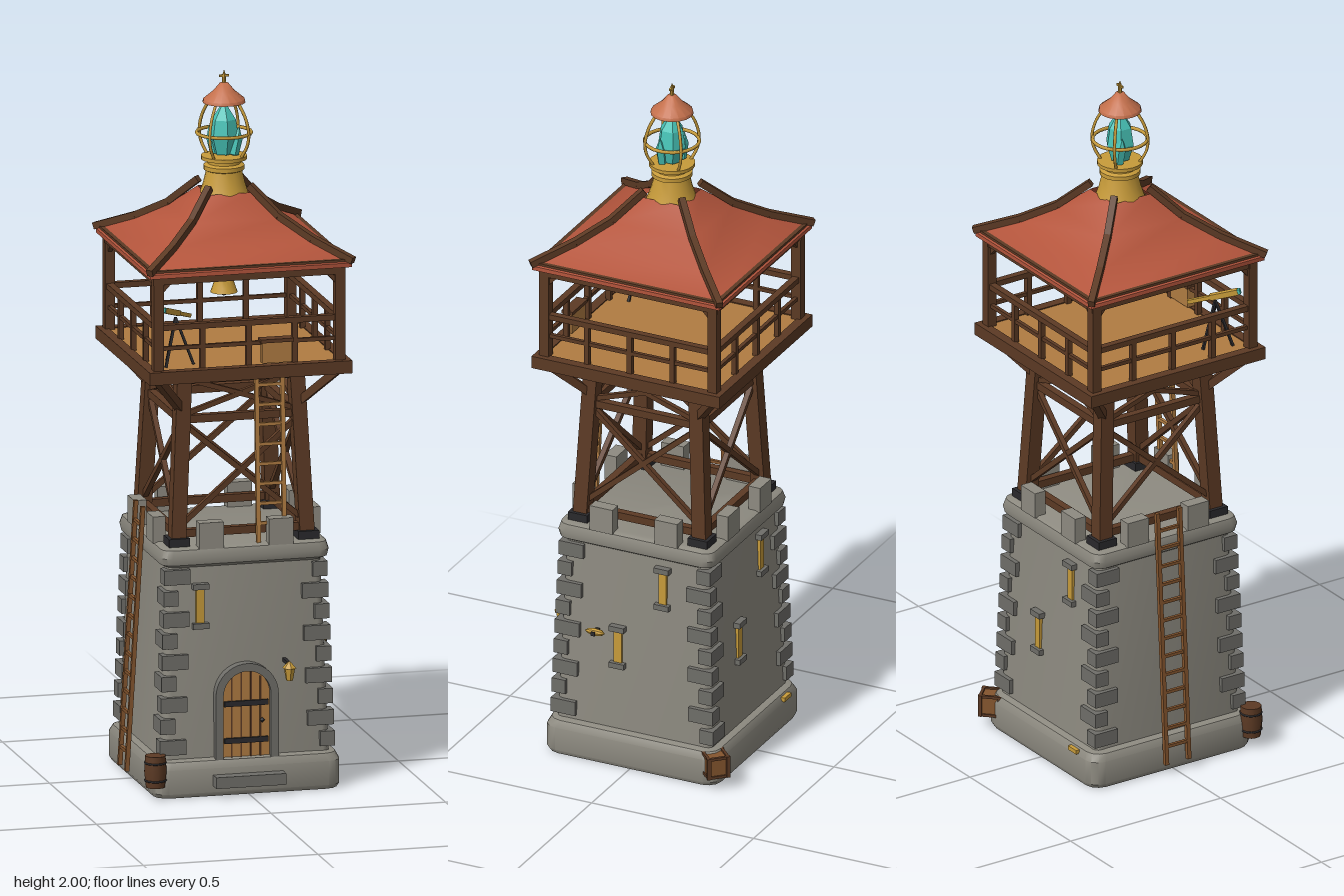
import * as THREE from 'three';
import { toCreasedNormals } from 'three/addons/utils/BufferGeometryUtils.js';

const mat = (name, color, side = THREE.FrontSide) => {
  const m = new THREE.MeshStandardMaterial({ color, side });
  m.name = name;
  return m;
};

export function createModel() {
  const stone = mat('stone', 0x8e8b81), trim = mat('darkStone', 0x6f6e69);
  const timber = mat('darkTimber', 0x5c3a24), oak = mat('oak', 0x84552e), plank = mat('plank', 0xb07c42);
  const gold = mat('brass', 0xc79b3a), red = mat('redRoof', 0xb4553c, THREE.DoubleSide);
  const copper = mat('copper', 0xc4704c), teal = mat('crystal', 0x48c4b8), iron = mat('iron', 0x2a292c);
  const model = new THREE.Group();
  model.name = 'watchtower';

  const add = (parent, name, geo, m, x = 0, y = 0, z = 0) => {
    const mesh = new THREE.Mesh(geo, m);
    mesh.name = name;
    mesh.position.set(x, y, z);
    parent.add(mesh);
    return mesh;
  };
  const box = (p, name, m, w, h, d, x, y, z) => add(p, name, new THREE.BoxGeometry(w, h, d), m, x, y, z);
  // square bar from a to b, in the parent's own frame
  const beam = (p, name, m, a, b, w) => {
    const A = new THREE.Vector3(...a), B = new THREE.Vector3(...b), len = A.distanceTo(B);
    const up = Math.abs(B.y - A.y) > len * 0.9 ? new THREE.Vector3(0, 0, 1) : new THREE.Vector3(0, 1, 0);
    const mesh = box(p, name, m, w, w, len, 0, 0, 0);
    mesh.quaternion.setFromRotationMatrix(new THREE.Matrix4().lookAt(B, A, up));
    mesh.position.lerpVectors(A, B, 0.5);
  };
  const lathe = (p, name, m, pts, seg, x = 0, y = 0, z = 0, crease = 0.7) =>
    add(p, name, toCreasedNormals(new THREE.LatheGeometry(pts.map(q => new THREE.Vector2(...q)), seg), crease), m, x, y, z);
  const ring = (p, name, m, r, t, y) => add(p, name, new THREE.TorusGeometry(r, t, 6, 24), m, 0, y, 0).rotateX(Math.PI / 2);
  const group = (name, parent = model) => {
    const g = new THREE.Group();
    g.name = name;
    parent.add(g);
    return g;
  };
  // repeat a front-side construction on all four sides
  const four = (name, fn) => {
    for (let k = 0; k < 4; k++) {
      const g = group(name);
      g.rotation.y = k * Math.PI / 2;
      fn(g, k);
    }
  };
  // rounded-square loft; each profile row is [half width, y, corner radius]
  const loft = (profile, caps = true) => {
    const pos = [], idx = [], n = 16;
    profile.forEach(([h, y, r]) => {
      for (let i = 0; i < n; i++) {
        const c = Math.floor(i / 4), a = (c + (i % 4) / 3) * Math.PI / 2, q = (c + 0.5) * Math.PI / 2;
        pos.push(Math.sign(Math.cos(q)) * (h - r) + Math.cos(a) * r, y, Math.sign(Math.sin(q)) * (h - r) + Math.sin(a) * r);
      }
    });
    for (let j = 0; j < profile.length - 1; j++) for (let i = 0; i < n; i++) {
      const a = j * n + i, b = j * n + (i + 1) % n;
      idx.push(a, a + n, b, b, a + n, b + n);
    }
    const top = (profile.length - 1) * n;
    if (caps) for (let i = 1; i < n - 1; i++) idx.push(0, i, i + 1, top, top + i + 1, top + i);
    const g = new THREE.BufferGeometry();
    g.setAttribute('position', new THREE.Float32BufferAttribute(pos, 3));
    g.setIndex(idx);
    return toCreasedNormals(g, 0.6);
  };
  const wallAt = y => 0.24 - (y - 0.1) * 0.035;

  // masonry base
  add(model, 'plinth', loft([[0.262, 0, 0.04], [0.268, 0.012, 0.04], [0.268, 0.08, 0.04], [0.258, 0.1, 0.04], [0.24, 0.105, 0.03]]), stone);
  add(model, 'towerWall', loft([[0.24, 0.1, 0.02], [wallAt(0.66), 0.66, 0.02]]), stone);
  add(model, 'parapetLedge', loft([[0.222, 0.645, 0.03], [0.238, 0.655, 0.03], [0.242, 0.675, 0.03], [0.236, 0.697, 0.03], [0.225, 0.702, 0.03]]), stone);
  const slits = [[[-0.13, 0.535]], [[0.085, 0.56], [-0.05, 0.355]], [[0.095, 0.56], [-0.055, 0.355]], []];
  four('masonrySide', (g, k) => {
    for (const x of [-0.1, 0.1]) box(g, 'merlon', stone, 0.07, 0.075, 0.036, x, 0.735, 0.222);
    for (let i = 0; i < 9; i++) {
      const y = 0.14 + i * 0.06, h = wallAt(y), long = i % 2;
      box(g, 'quoin', trim, long ? 0.075 : 0.042, 0.042, long ? 0.042 : 0.075,
        h - (long ? 0.0255 : 0.009), y, h - (long ? 0.009 : 0.0255));
    }
    for (const [x, y] of slits[k]) {
      const z = wallAt(y);
      box(g, 'slitWindow', gold, 0.024, 0.1, 0.009, x, y, z + 0.003);
      for (const s of [-1, 1]) box(g, 'slitLintel', trim, 0.046, 0.016, 0.026, x, y + s * 0.056, z + 0.004);
    }
  });

  // arched door
  const door = group('door');
  door.position.set(-0.003, 0, 0);
  const arch = (w, y0, spring) => {
    const s = new THREE.Shape();
    s.moveTo(-w, y0); s.lineTo(w, y0); s.lineTo(w, spring);
    s.absarc(0, spring, w, 0, Math.PI, false);
    s.lineTo(-w, y0);
    return s;
  };
  const frame = arch(0.09, 0.1, 0.28);
  frame.holes.push(arch(0.068, 0.1005, 0.28));
  const extrude = (s, depth) => new THREE.ExtrudeGeometry(s, { depth, bevelEnabled: false, curveSegments: 10 });
  add(door, 'doorFrame', extrude(frame, 0.035), trim, 0, 0, 0.225);
  add(door, 'doorLeaf', extrude(arch(0.068, 0.1, 0.28), 0.02), plank, 0, 0, 0.225);
  for (const x of [-0.041, -0.014, 0.014, 0.041]) {
    const top = 0.28 + Math.sqrt(0.068 ** 2 - x * x) - 0.004;
    box(door, 'doorGroove', timber, 0.004, top - 0.1, 0.004, x, (top + 0.1) / 2, 0.246);
  }
  for (const y of [0.15, 0.255]) box(door, 'hingeStrap', iron, 0.125, 0.015, 0.008, 0, y, 0.248);
  lathe(door, 'doorKnob', iron, [[0, -0.008], [0.008, 0], [0, 0.008]], 8, 0.045, 0.205, 0.25);
  box(model, 'doorStep', trim, 0.2, 0.032, 0.07, -0.003, 0.045, 0.268);

  // wall lantern and horn
  const wallLamp = group('wallLantern');
  beam(wallLamp, 'lampBracket', iron, [0.11, 0.368, 0.225], [0.11, 0.368, 0.285], 0.01);
  lathe(wallLamp, 'lampCap', gold, [[0, 0.356], [0.02, 0.357], [0, 0.378]], 6, 0.11, 0, 0.288);
  lathe(wallLamp, 'lampGlass', gold, [[0, 0.32], [0.01, 0.322], [0.016, 0.357]], 6, 0.11, 0, 0.288);
  beam(model, 'hornBracket', iron, [0.22, 0.39, 0.115], [0.262, 0.39, 0.115], 0.012);
  lathe(model, 'wallHorn', gold, [[0, -0.032], [0.009, -0.02], [0.011, 0], [0.007, 0.02], [0, 0.03]], 8, 0.25, 0.392, 0.115).rotateX(Math.PI / 2);
  box(model, 'brassMark', gold, 0.04, 0.012, 0.012, -0.17, 0.09, -0.268);

  // barrel and crate at the foot
  const barrel = group('barrel');
  barrel.position.set(-0.266, 0, 0.258);
  lathe(barrel, 'barrelBody', timber, [[0, 0.035], [0.027, 0.035], [0.032, 0.08], [0.029, 0.125], [0, 0.125]], 12);
  for (const y of [0.055, 0.105]) ring(barrel, 'barrelHoop', iron, 0.029, 0.003, y);
  const crate = group('crate');
  crate.position.set(0.251, 0.068, -0.258);
  crate.rotation.y = Math.PI / 4;
  box(crate, 'crateBody', oak, 0.056, 0.054, 0.056, 0, 0, 0);
  for (const x of [-0.028, 0.028]) for (const z of [-0.028, 0.028]) box(crate, 'crateCorner', timber, 0.011, 0.064, 0.011, x, 0, z);
  for (const y of [-0.028, 0.028]) for (const s of [-1, 1]) {
    box(crate, 'crateRail', timber, 0.064, 0.008, 0.008, 0, y, s * 0.028);
    box(crate, 'crateRail', timber, 0.008, 0.008, 0.064, s * 0.028, y, 0);
  }

  // ladders: lower one on the right wall, upper one inside the frame
  const ladder = (name, m, a, b, side, rungs) => {
    const g = group(name), A = new THREE.Vector3(...a), B = new THREE.Vector3(...b), S = new THREE.Vector3(...side);
    for (const s of [-1, 1]) beam(g, 'ladderRail', m, A.clone().addScaledVector(S, s), B.clone().addScaledVector(S, s), 0.012);
    for (let i = 1; i <= rungs; i++) {
      const c = A.clone().lerp(B, i / (rungs + 1));
      beam(g, 'ladderRung', m, c.clone().sub(S), c.clone().add(S), 0.009);
    }
  };
  ladder('wallLadder', oak, [-0.288, 0.03, -0.002], [-0.242, 0.78, -0.002], [0, 0, 0.037], 13);
  ladder('frameLadder', plank, [0.078, 0.7, 0.215], [0.078, 1.2, 0.19], [0.037, 0, 0], 8);

  // timber frame
  const legAt = y => 0.185 - (y - 0.7) * 0.05;
  four('frameSide', g => {
    const p = (s, y) => [s * legAt(y), y, legAt(y)];
    beam(g, 'leg', timber, p(1, 0.7), p(1, 1.2), 0.042);
    box(g, 'legShoe', iron, 0.06, 0.026, 0.06, legAt(0.7), 0.712, legAt(0.7));
    for (const y of [0.735, 1.055, 1.165]) beam(g, 'girt', timber, p(-1, y), p(1, y), 0.022);
    for (const s of [-1, 1]) {
      beam(g, 'crossBrace', timber, p(-s, 0.75), p(s, 1.045), 0.015);
      beam(g, 'upperBrace', timber, p(-s, 1.065), p(s, 1.17), 0.014);
    }
    beam(g, 'cornerKnee', timber, p(1, 1.08), [0.262, 1.195, 0.262], 0.022);
  });

  // lookout platform, railings and roof timbers
  box(model, 'platformFloor', plank, 0.55, 0.016, 0.55, 0, 1.21, 0);
  for (let i = -2; i <= 2; i++) box(model, 'floorJoist', timber, 0.022, 0.022, 0.54, i * 0.11, 1.192, 0);
  const hip = [[0.292, 1.506], [0.2, 1.553], [0.125, 1.605], [0.058, 1.68]];
  four('lookoutSide', g => {
    box(g, 'platformRim', timber, 0.58, 0.036, 0.028, 0, 1.203, 0.276);
    box(g, 'cornerPost', timber, 0.028, 0.27, 0.028, 0.26, 1.35, 0.26);
    box(g, 'handRail', timber, 0.53, 0.016, 0.02, 0, 1.342, 0.26);
    box(g, 'midRail', timber, 0.52, 0.011, 0.011, 0, 1.282, 0.26);
    for (const x of [-0.132, 0, 0.132]) box(g, 'railPost', timber, 0.015, 0.125, 0.015, x, 1.28, 0.26);
    for (const s of [-1, 1]) beam(g, 'postBrace', timber, [s * 0.255, 1.44, 0.26], [s * 0.222, 1.475, 0.26], 0.012);
    box(g, 'topPlate', timber, 0.55, 0.024, 0.024, 0, 1.477, 0.26);
    beam(g, 'eaveBoard', timber, [-0.282, 1.502, 0.277], [0.282, 1.502, 0.277], 0.013);
    for (let i = 0; i < 3; i++) {
      const [a, ya] = hip[i], [b, yb] = hip[i + 1];
      beam(g, 'hipBeam', timber, [a, ya, a], [b, yb, b], 0.019);
    }
    beam(g, 'rafter', timber, [0, 1.478, 0.26], [0, 1.62, 0.07], 0.014);
  });
  add(model, 'roof', loft([[0.289, 1.487, 0.002], [0.289, 1.499, 0.002], [0.2, 1.546, 0.002], [0.125, 1.597, 0.002], [0.06, 1.66, 0.002]], false), red);

  // bell
  const bell = group('bell');
  box(bell, 'bellBeam', timber, 0.52, 0.02, 0.022, 0, 1.478, 0);
  lathe(bell, 'bellBody', gold, [[0.03, 1.372], [0.038, 1.368], [0.032, 1.385], [0.025, 1.405], [0.022, 1.425], [0.012, 1.438], [0, 1.44]], 16);
  lathe(bell, 'bellInside', iron, [[0, 1.4], [0.032, 1.371]], 16);
  add(bell, 'bellClapper', new THREE.SphereGeometry(0.009, 8, 6), iron, 0, 1.366, 0);
  add(bell, 'bellLoop', new THREE.TorusGeometry(0.012, 0.004, 6, 12), gold, 0, 1.452, 0);

  // telescope on a tripod
  const scope = group('telescope');
  for (let i = 0; i < 3; i++) {
    const a = i * Math.PI * 2 / 3 + 0.3;
    beam(scope, 'tripodLeg', iron, [-0.19, 1.35, 0.19], [-0.19 + Math.cos(a) * 0.05, 1.218, 0.19 + Math.sin(a) * 0.05], 0.007);
  }
  beam(scope, 'eyepieceTube', gold, [-0.135, 1.34, 0.135], [-0.185, 1.362, 0.185], 0.011);
  beam(scope, 'mainTube', gold, [-0.18, 1.36, 0.18], [-0.235, 1.384, 0.235], 0.016);
  beam(scope, 'lens', teal, [-0.235, 1.384, 0.235], [-0.24, 1.386, 0.24], 0.014);

  // supply box hung on the front rail
  box(model, 'railBox', plank, 0.085, 0.058, 0.026, 0.078, 1.254, 0.262);
  box(model, 'railBoxLid', timber, 0.094, 0.01, 0.034, 0.078, 1.288, 0.262);

  // beacon on the roof
  const beacon = group('beacon');
  lathe(beacon, 'collar', gold, [[0.078, 1.625], [0.068, 1.65], [0.058, 1.68], [0.05, 1.715], [0.057, 1.718], [0.057, 1.73], [0.046, 1.735], [0.046, 1.744], [0.064, 1.747], [0.064, 1.757], [0, 1.76]], 20);
  lathe(beacon, 'crystal', teal, [[0, 1.757], [0.028, 1.762], [0.042, 1.81], [0.034, 1.86], [0, 1.912]], 6, 0, 0, 0, 0.1);
  for (const s of [-1, 1]) {
    const shard = lathe(beacon, 'crystalShard', teal, [[0, 0], [0.014, 0.005], [0.016, 0.05], [0, 0.085]], 5, s * 0.022, 1.757, s * 0.018, 0.1);
    shard.rotation.z = -s * 0.2;
  }
  const rib = new THREE.CatmullRomCurve3([[0.055, 1.755], [0.074, 1.79], [0.079, 1.825], [0.068, 1.87], [0.045, 1.91]].map(([r, y]) => new THREE.Vector3(r, y, 0)));
  for (let i = 0; i < 4; i++) add(beacon, 'cageRib', new THREE.TubeGeometry(rib, 12, 0.0045, 6), gold).rotation.y = (i + 0.5) * Math.PI / 2;
  ring(beacon, 'cageRing', gold, 0.076, 0.005, 1.822);
  lathe(beacon, 'beaconCap', copper, [[0, 1.906], [0.06, 1.908], [0.058, 1.917], [0.03, 1.94], [0.012, 1.962], [0, 1.965]], 16);
  lathe(beacon, 'finialRod', gold, [[0.006, 1.955], [0.005, 1.985], [0, 2]], 8);
  box(beacon, 'finialBar', gold, 0.028, 0.006, 0.006, 0, 1.983, 0);
  return model;
}
